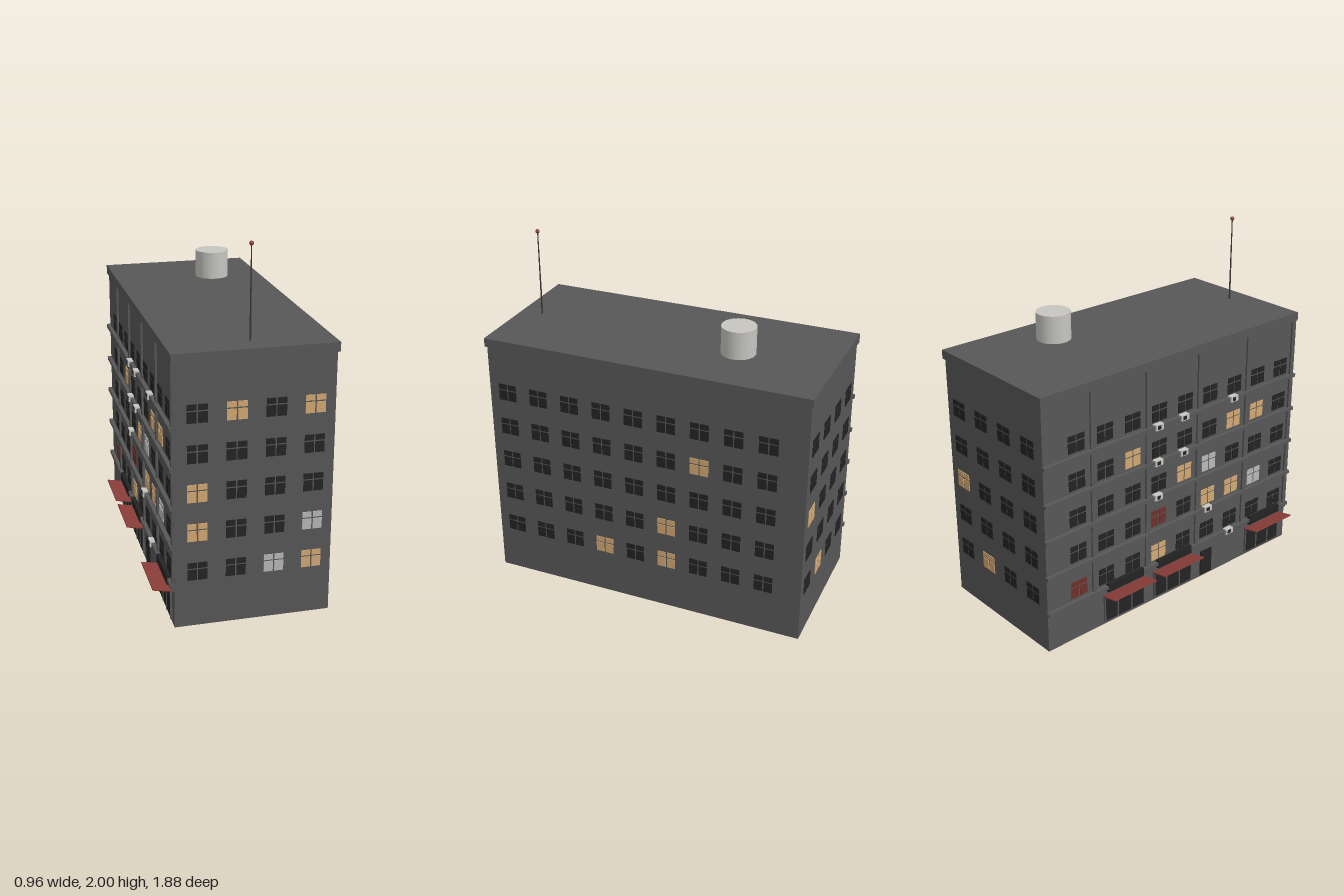
import * as THREE from 'three';
import { mergeGeometries } from 'three/addons/utils/BufferGeometryUtils.js';

const mat = (name, color) => {
  const m = new THREE.MeshStandardMaterial({ color });
  m.name = name;
  return m;
};

export function createModel() {
  const wall = mat('wall grey', 0x575757);
  const dark = mat('dark glass', 0x232323);
  const lit = mat('lit glass', 0xd3a873);
  const pale = mat('pale glass', 0xb8b8b8);
  const curtain = mat('red glass', 0x6e2f2b);
  const red = mat('awning red', 0x883d38);
  const metal = mat('light metal', 0xc6c5c0);
  const mast = mat('mast grey', 0x3a3a38);

  const model = new THREE.Group();
  model.name = 'apartmentBlock';

  const add = (name, geo, material, x, y, z, parent = model) => {
    const m = new THREE.Mesh(geo, material);
    m.name = name;
    m.position.set(x, y, z);
    parent.add(m);
    return m;
  };
  // Box given by its min and max corners
  const box = (name, material, x0, x1, y0, y1, z0, z1, parent) =>
    add(name, new THREE.BoxGeometry(x1 - x0, y1 - y0, z1 - z0), material,
      (x0 + x1) / 2, (y0 + y1) / 2, (z0 + z1) / 2, parent);

  // Main block and roof slab
  const L = -0.376, R = 0.465, Z = 0.93;
  box('body', wall, L, R, 0, 1.446, -Z, Z);
  box('roofSlab', wall, -0.388, 0.476, 1.446, 1.496, -0.94, 0.94);

  // Four-pane window, shared by every opening
  const pane = (x, y, h) => new THREE.BoxGeometry(0.049, h, 0.008).translate(x, y, 0);
  const windowGeo = mergeGeometries([-0.0285, 0.0285].flatMap((x) => [
    pane(x, -0.0195, 0.059), pane(x, 0.0335, 0.031),
  ]));

  const rows = [1.18, 0.965, 0.752, 0.535, 0.315];
  const endCols = [-0.254, -0.05, 0.154, 0.358];
  const sideCols = Array.from({ length: 9 }, (_, i) => 0.82 - i * 0.1918);

  // special maps "row,column" to a glass colour
  const facade = (name, cols, place, angle, special) => {
    const g = new THREE.Group();
    g.name = name;
    rows.forEach((y, r) => cols.forEach((c, i) => {
      const [x, z] = place(c);
      add('window', windowGeo, special[`${r},${i}`] || dark, x, y, z, g).rotation.y = angle;
    }));
    model.add(g);
  };
  facade('frontWindows', endCols, (c) => [c, Z], 0, {
    '0,1': lit, '0,3': lit, '2,0': lit, '3,0': lit, '3,3': pale, '4,2': pale, '4,3': lit,
  });
  facade('backWindows', endCols, (c) => [c, -Z], Math.PI, { '2,3': lit, '4,2': lit });
  facade('leftWindows', sideCols, (c) => [R, c], Math.PI / 2, {
    '1,6': lit, '3,5': lit, '4,3': lit, '4,5': lit,
  });
  facade('streetWindows', sideCols, (c) => [L, c], -Math.PI / 2, {
    '1,6': lit, '1,2': lit, '1,1': lit, '2,4': lit, '2,3': pale, '3,5': curtain,
    '3,3': lit, '3,2': lit, '3,1': pale, '4,5': lit, '4,8': curtain,
  });

  // Ledges and pilasters of the street side
  for (const y of rows) box('ledge', wall, -0.398, L, y - 0.085, y - 0.065, -0.937, 0.937);
  for (const z of [-0.61, -0.226, 0.157, 0.54, 0.915])
    box('pilaster', wall, -0.387, L, 0.21, 1.446, z - 0.014, z + 0.014);

  // Air conditioners: [row, z]
  const units = [[0, -0.16], [0, 0.03], [0, 0.415], [1, -0.16], [1, 0.03],
    [2, -0.16], [3, 0.23], [4, 0.415]];
  for (const [r, z] of units) {
    const y = rows[r] - 0.075;
    box('airConditioner', metal, -0.406, L, y - 0.016, y + 0.018, z - 0.028, z + 0.028);
    box('airConditionerGrille', dark, -0.408, -0.406, y - 0.01, y + 0.012, z - 0.016, z + 0.008);
  }

  // Shops with awning, sign board, glazing and mullions
  for (const z of [-0.395, -0.025, 0.725]) {
    const shop = new THREE.Group();
    shop.name = 'shop';
    model.add(shop);
    box('shopGlass', dark, -0.383, L, 0.02, 0.185, z - 0.145, z + 0.145, shop);
    for (const d of [-0.145, -0.05, 0.05, 0.145])
      box('mullion', wall, -0.387, L, 0.02, 0.185, z + d - 0.004, z + d + 0.004, shop);
    box('signBoard', dark, -0.4, L, 0.212, 0.262, z - 0.13, z + 0.13, shop);
    const awning = add('awning', new THREE.BoxGeometry(0.108, 0.006, 0.312), red,
      -0.427, 0.196, z, shop);
    awning.rotation.z = -0.2;
  }
  // Street door
  box('door', dark, -0.382, L, 0.01, 0.17, 0.2, 0.29);

  // Water tank
  add('waterTank', new THREE.CylinderGeometry(0.095, 0.095, 0.155, 32), metal, 0.16, 1.602, -0.427);

  // Antenna
  add('antennaMast', new THREE.CylinderGeometry(0.003, 0.005, 0.49, 8), mast, 0.045, 1.741, 0.813);
  add('antennaLight', new THREE.SphereGeometry(0.012, 12, 8), red, 0.045, 1.988, 0.813);

  return model;
}
